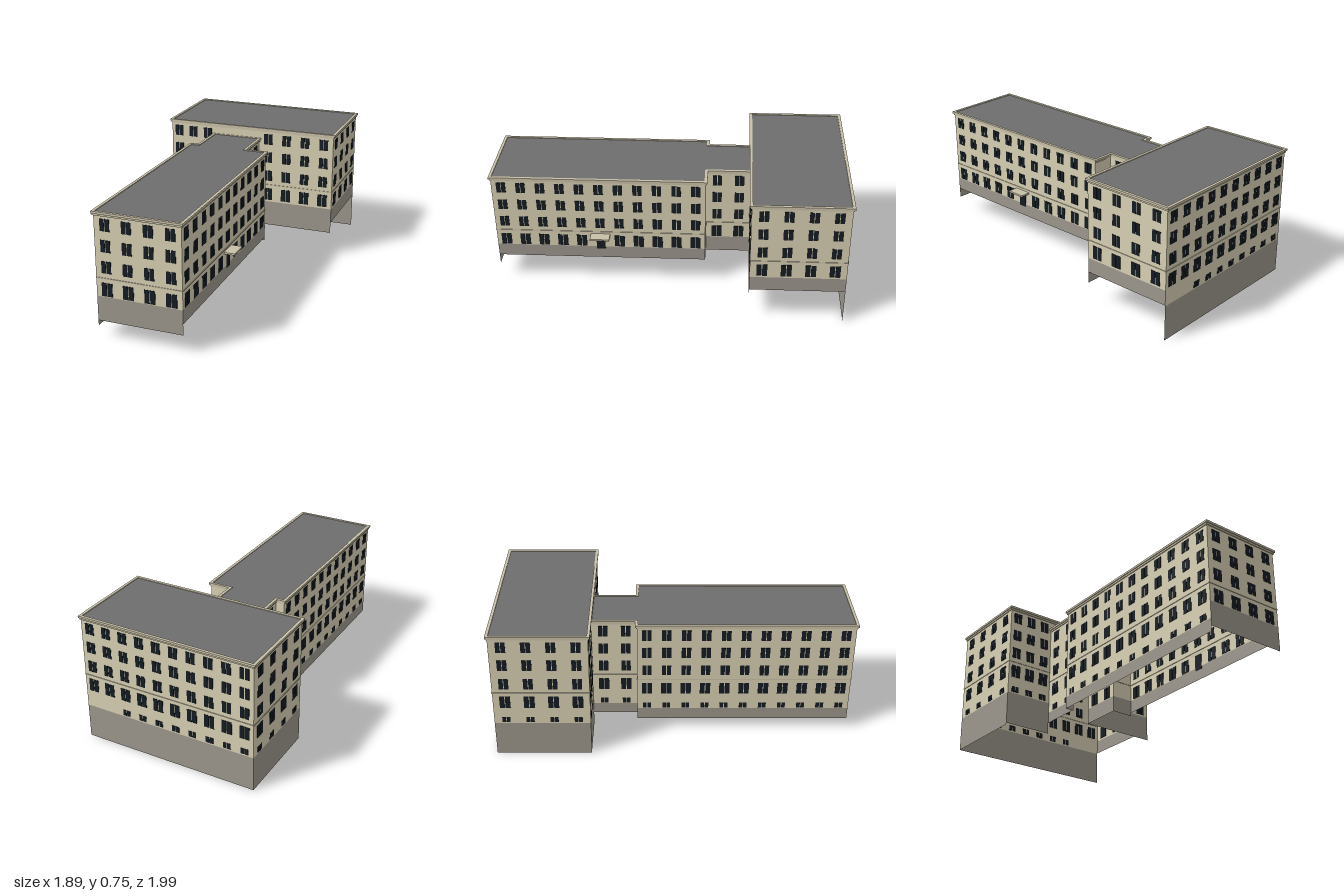
import * as THREE from 'three';
import { mergeGeometries } from 'three/addons/utils/BufferGeometryUtils.js';

const mat = (color) => new THREE.MeshStandardMaterial({ color, side: THREE.DoubleSide });
const wallMat = mat(0xd8d0b4);
const baseMat = mat(0x9c968c);
const roofMat = mat(0x6e6e6e);
const trimMat = mat(0xc9c1a8);
const glassMat = mat(0x141c22);

const INSET = 0.01; // cornice overhang beyond the walls

function add(parent, name, geometry, material) {
  const mesh = new THREE.Mesh(geometry, material);
  mesh.name = name;
  parent.add(mesh);
  return mesh;
}

const box = (w, h, d, x, y, z = 0) => new THREE.BoxGeometry(w, h, d).translate(x, y, z);

// Moves a right-angled, counterclockwise outline inwards by d.
function inset(points, d) {
  const n = points.length;
  const normal = (p, q) => {
    const l = Math.hypot(q[0] - p[0], q[1] - p[1]);
    return [-(q[1] - p[1]) / l, (q[0] - p[0]) / l];
  };
  return points.map((p, i) => {
    const a = normal(points[(i + n - 1) % n], p);
    const b = normal(p, points[(i + 1) % n]);
    return [p[0] + (a[0] + b[0]) * d, p[1] + (a[1] + b[1]) * d];
  });
}

const toVectors = (points) => points.map((p) => new THREE.Vector2(...p));

// Flat roof inside a stepped cornice ring.
function addRoof(parent, outline, top) {
  const ring = (outer, inner, y, h) => {
    const shape = new THREE.Shape(toVectors(inset(outline, outer)));
    shape.holes.push(new THREE.Path(toVectors(inset(outline, inner))));
    return new THREE.ExtrudeGeometry(shape, { depth: h, bevelEnabled: false })
      .rotateX(-Math.PI / 2).translate(0, y, 0);
  };
  add(parent, 'cornice', mergeGeometries([
    ring(0, 0.016, top - 0.012, 0.012),
    ring(0.005, 0.012, top - 0.022, 0.01),
  ]), trimMat);
  const roof = new THREE.ShapeGeometry(new THREE.Shape(toVectors(inset(outline, 0.012))));
  add(parent, 'roof', roof.rotateX(-Math.PI / 2).translate(0, top - 0.004, 0), roofMat);
}

// One facade from p to q (left to right seen from outside).
function addWall(parent, name, p, q, style, o) {
  const len = Math.hypot(q[0] - p[0], q[1] - p[1]);
  const g = new THREE.Group();
  g.name = name;
  g.position.set(p[0], 0, -p[1]);
  g.rotation.y = Math.atan2(q[1] - p[1], q[0] - p[0]);
  parent.add(g);

  const panel = (y0, y1) => new THREE.PlaneGeometry(len, y1 - y0).translate(len / 2, (y0 + y1) / 2, 0);
  const wallTop = style.top - 0.005;
  if (o.base) add(g, 'plinth', panel(o.bottom, o.base), baseMat);
  add(g, 'wall', panel(o.base ?? o.bottom, wallTop), wallMat);
  if (o.base) add(g, 'stringCourse', box(len, 0.005, 0.006, len / 2, style.band), trimMat);

  // Paired panes in each opening
  const panes = [];
  const opening = (x, y, w, h) => {
    for (const s of [-1, 1]) panes.push(box(w / 2 - 0.003, h, 0.004, x + s * (w / 4 + 0.0005), y));
  };
  const cols = o.cols ?? 0;
  for (let i = 0; i < cols; i++) {
    const x = (len * (i + 0.5)) / cols;
    style.rows.forEach(([y, h], r) => {
      if (r === 0 && i === o.doorCol) panes.push(box(0.05, 0.09, 0.005, x, 0.265));
      else opening(x, y, r === 0 ? 0.06 : 0.054, h);
    });
    if (o.cellar && i < o.cellar) opening(x, style.cellarY, 0.046, 0.034);
  }
  if (panes.length) add(g, 'windows', mergeGeometries(panes), glassMat);

  // Canopy above the door
  if (o.doorCol !== undefined) {
    const x = (len * (o.doorCol + 0.5)) / cols;
    add(g, 'doorCanopy', box(0.11, 0.01, 0.06, x, 0.317, 0.03), trimMat);
  }
}

const wingStyle = {
  top: 0.685, band: 0.335, cellarY: 0.162,
  rows: [[0.275, 0.072], [0.395, 0.064], [0.507, 0.064], [0.617, 0.064]],
};
const blockStyle = {
  top: 0.75, band: 0.397, cellarY: 0.225,
  rows: [[0.338, 0.074], [0.455, 0.064], [0.57, 0.064], [0.682, 0.064]],
};

export function createModel() {
  const model = new THREE.Group();
  model.name = 'building';
  model.rotation.y = -0.69;

  // Long wing with its narrower connector
  const wing = new THREE.Group();
  wing.name = 'longWing';
  model.add(wing);
  const wingOutline = [
    [-0.295, -1.13], [0.188, -1.13], [0.188, 0.085], [0.06, 0.085],
    [0.06, 0.336], [-0.245, 0.336], [-0.245, 0.085], [-0.295, 0.085],
  ];
  const w = inset(wingOutline, INSET);
  const wingWalls = [
    ['endFacade', { bottom: 0.1, base: 0.235, cols: 4 }],
    ['entranceFacade', { bottom: 0.16, base: 0.235, cols: 11, doorCol: 5 }],
    ['entranceSideReturn', { bottom: 0.14, base: 0.235 }],
    ['connectorEntranceSide', { bottom: 0.14, base: 0.235, cols: 2 }],
    null, // open towards the tall block
    ['connectorRearSide', { bottom: 0.075, base: 0.14, cols: 2, cellar: 2 }],
    ['rearSideReturn', { bottom: 0.07, base: 0.14 }],
    ['rearFacade', { bottom: 0.07, base: 0.14, cols: 11, cellar: 11 }],
  ];
  wingWalls.forEach((wall, i) => {
    if (wall) addWall(wing, wall[0], w[i], w[(i + 1) % w.length], wingStyle, wall[1]);
  });
  addRoof(wing, wingOutline, wingStyle.top);

  // Tall block across the end of the wing
  const block = new THREE.Group();
  block.name = 'tallBlock';
  model.add(block);
  const blockOutline = [[-0.526, 0.316], [0.517, 0.316], [0.517, 0.861], [-0.526, 0.861]];
  const [sw, se, ne, nw] = inset(blockOutline, INSET);
  const joinLeft = [-0.235, sw[1]];
  const joinRight = [0.05, sw[1]];
  const blockWalls = [
    ['innerFacadeLeft', sw, joinLeft, { bottom: 0.01, base: 0.2, cols: 3, cellar: 3 }],
    ['wallAboveConnector', joinLeft, joinRight, { bottom: 0.665 }],
    ['innerFacadeRight', joinRight, se, { bottom: 0.14, base: 0.29, cols: 4 }],
    ['rightFacade', se, ne, { bottom: 0.205, base: 0.29, cols: 4 }],
    ['outerFacade', ne, nw, { bottom: 0, base: 0.2, cols: 10 }],
    ['leftFacade', nw, sw, { bottom: 0, base: 0.2, cols: 4, cellar: 4 }],
  ];
  for (const [name, p, q, o] of blockWalls) addWall(block, name, p, q, blockStyle, o);

  // Cellar windows on the lower part of the outer facade
  const cellar = [];
  for (let i = 2; i < 10; i++) {
    const x = ne[0] - ((ne[0] - nw[0]) * (i + 0.5)) / 10;
    for (const s of [-1, 1]) cellar.push(box(0.02, 0.034, 0.004, x + s * 0.012, blockStyle.cellarY, -ne[1]));
  }
  add(block, 'outerCellarWindows', mergeGeometries(cellar), glassMat);
  addRoof(block, blockOutline, blockStyle.top);

  return model;
}
